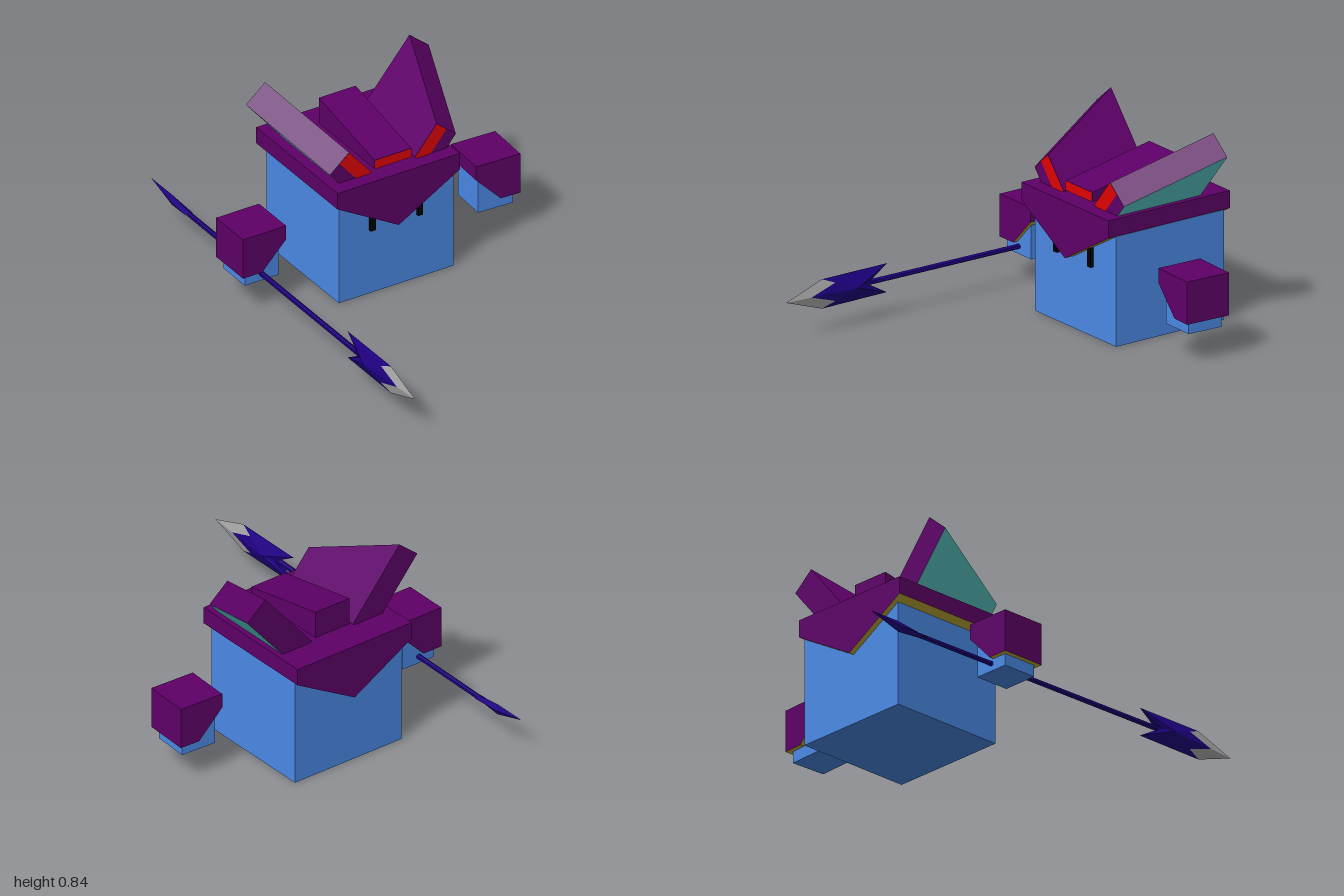
import * as THREE from 'three';

const material = (name, color) => {
  const m = new THREE.MeshStandardMaterial({ color });
  m.name = name;
  return m;
};
const blue = material('blue', 0x4c8be8);
const purple = material('purple', 0x5e0068);
const gold = material('gold', 0xcbb23c);
const red = material('red', 0xe20303);
const teal = material('teal', 0x62dcda);
const indigo = material('indigo', 0x1f0082);
const silver = material('silver', 0xa8a8a8);
const black = material('black', 0x000000);

// Mesh from convex polygons, each { pts, mat }, counter-clockwise from outside
function polyMesh(name, faces) {
  const mats = [...new Set(faces.map((f) => f.mat))];
  const pos = [];
  const geo = new THREE.BufferGeometry();
  for (const { pts, mat } of faces) {
    const start = pos.length / 3;
    for (let i = 1; i < pts.length - 1; i++) pos.push(...pts[0], ...pts[i], ...pts[i + 1]);
    geo.addGroup(start, pos.length / 3 - start, mats.indexOf(mat));
  }
  geo.setAttribute('position', new THREE.Float32BufferAttribute(pos, 3));
  geo.computeVertexNormals();
  const mesh = new THREE.Mesh(geo, mats);
  mesh.name = name;
  return mesh;
}

// Solid between a front and a back outline, with one material per side face
function solid(name, front, zFront, back, zBack, sides, side = 1) {
  const n = front.length;
  if (side < 0) {
    const flip = (pts) => pts.map(([x, y]) => [-x, y]).reverse();
    front = flip(front);
    back = flip(back);
    sides = sides.map((_, j) => sides[(2 * n - 2 - j) % n]);
  }
  const f = front.map(([x, y]) => [x, y, zFront]);
  const b = back.map(([x, y]) => [x, y, zBack]);
  const faces = [{ pts: f, mat: purple }, { pts: [...b].reverse(), mat: purple }];
  for (let i = 0; i < n; i++) {
    const j = (i + 1) % n;
    faces.push({ pts: [f[i], b[i], b[j], f[j]], mat: sides[i] });
  }
  return polyMesh(name, faces);
}

function box(name, mat, w, h, d, x, y, z) {
  const mesh = new THREE.Mesh(new THREE.BoxGeometry(w, h, d), mat);
  mesh.name = name;
  mesh.position.set(x, y, z);
  return mesh;
}

// Thin red panel on a front face
function panel(name, pts) {
  return polyMesh(name, [{ pts: pts.map(([x, y]) => [x, y, -0.053]), mat: red }]);
}

function makeEar(side) {
  const ear = new THREE.Group();
  ear.name = side > 0 ? 'leftEar' : 'rightEar';
  const inner = [0.105, 0.556], outer = [0.197, 0.479];
  const front = [inner, outer, [0.301, 0.603], [0.209, 0.68]];
  const back = [inner, outer, [0.437, 0.765], [0.345, 0.842]];
  ear.add(solid('earSlab', front, -0.056, back, -0.475, [purple, teal, purple, purple], side));
  const lining = [inner, [0.151, 0.5175], [0.255, 0.6415], [0.209, 0.68]];
  ear.add(panel('earLining', side > 0 ? lining : lining.map(([x, y]) => [-x, y]).reverse()));
  return ear;
}

function makeHand(side, x, z, turn) {
  const hand = new THREE.Group();
  hand.name = side > 0 ? 'leftHand' : 'rightHand';
  const cuff = [[-0.103, 0.366], [-0.103, 0.302], [0.012, 0.183], [0.103, 0.183], [0.103, 0.366]];
  hand.add(solid('sleeve', cuff, 0.102, cuff, -0.102, [purple, gold, gold, purple, purple], side));
  hand.add(box('fist', blue, 0.162, 0.208, 0.162, 0, 0.236, 0));
  hand.position.set(x, 0, z);
  hand.rotation.y = turn;
  return hand;
}

// Barbed spear head: ridged blade with bright cutting edges
function makeSpearHead() {
  const faces = [];
  for (const sx of [1, -1]) {
    for (const sy of [1, -1]) {
      const p = (x, y, z) => [sx * x, sy * y, z];
      const tip = p(0, 0, 1), wide = p(0, 0.063, 0.82), barb = p(0, 0.062, 0.492);
      const notch = p(0.014, 0, 0.6), ridge = p(0.031, 0, 0.66);
      const edge = p(0.0116, 0.0394, 0.76), inset = p(0.0109, 0, 0.88);
      const add = (mat, ...pts) => faces.push({ mat, pts: sx * sy > 0 ? pts : pts.reverse() });
      add(silver, tip, inset, edge, wide);
      add(indigo, inset, ridge, edge);
      add(indigo, wide, ridge, barb);
      add(indigo, ridge, notch, barb);
      add(indigo, notch, p(0, 0, 0.6), barb);
    }
  }
  const head = polyMesh('spearHead', faces);
  head.position.set(-0.564, 0.17, 0);
  return head;
}

// Leaf-shaped spike on the tail end, lofted through diamond sections
function makeSpearTail() {
  // z, centre y, half width, half height
  const sections = [[-0.7, 0.162, 0.012, 0.009], [-0.73, 0.162, 0.018, 0.011],
    [-0.85, 0.164, 0.013, 0.024], [-1, 0.186, 0.001, 0.001]];
  const rings = sections.map(([z, y, w, h]) => [[w, y, z], [0, y + h, z], [-w, y, z], [0, y - h, z]]);
  const faces = [{ pts: rings[0], mat: indigo }];
  for (let s = 0; s < rings.length - 1; s++) {
    for (let i = 0; i < 4; i++) {
      const a = rings[s], b = rings[s + 1], j = (i + 1) % 4;
      faces.push({ pts: [a[i], b[i], b[j]], mat: indigo }, { pts: [a[i], b[j], a[j]], mat: indigo });
    }
  }
  const tail = polyMesh('spearTail', faces);
  tail.position.x = -0.553;
  return tail;
}

function makeSpear() {
  const spear = new THREE.Group();
  spear.name = 'spear';
  const a = new THREE.Vector3(-0.564, 0.17, 0.64), b = new THREE.Vector3(-0.553, 0.162, -0.74);
  const shaft = new THREE.Mesh(
    new THREE.CylinderGeometry(0.012, 0.011, a.distanceTo(b), 6).toNonIndexed(), indigo);
  shaft.geometry.computeVertexNormals();
  shaft.name = 'shaft';
  shaft.position.copy(a).add(b).multiplyScalar(0.5);
  shaft.quaternion.setFromUnitVectors(new THREE.Vector3(0, 1, 0), a.clone().sub(b).normalize());
  spear.add(shaft, makeSpearHead(), makeSpearTail());
  return spear;
}

export function createModel() {
  const model = new THREE.Group();
  model.name = 'hoodedSpearCarrier';

  // Cube body and slit eyes
  model.add(box('body', blue, 0.547, 0.5, 0.545, 0.002, 0.25, -0.3075));
  for (const x of [-0.116, 0.111]) model.add(box('eye', black, 0.023, 0.09, 0.02, x, 0.343, -0.03));

  // Hood with pointed flaps front and back
  const hood = [[-0.305, 0.55], [-0.305, 0.475], [-0.012, 0.307], [0.281, 0.475], [0.281, 0.55]];
  model.add(solid('hood', hood, 0.008, hood, -0.605, [purple, gold, gold, purple, purple]));

  // Ears and the raised crest between them
  model.add(makeEar(1), makeEar(-1));
  const crest = (top) => [[-0.088, 0.564], [0.088, 0.564], [0.088, top], [-0.088, top]];
  model.add(solid('crest', crest(0.604), -0.056, crest(0.685), -0.475, Array(4).fill(purple)));
  model.add(panel('crestFront', crest(0.604)));

  // Floating hands and the spear
  model.add(makeHand(1, 0.549, -0.222, -0.045), makeHand(-1, -0.555, -0.25, 0));
  model.add(makeSpear());
  return model;
}
